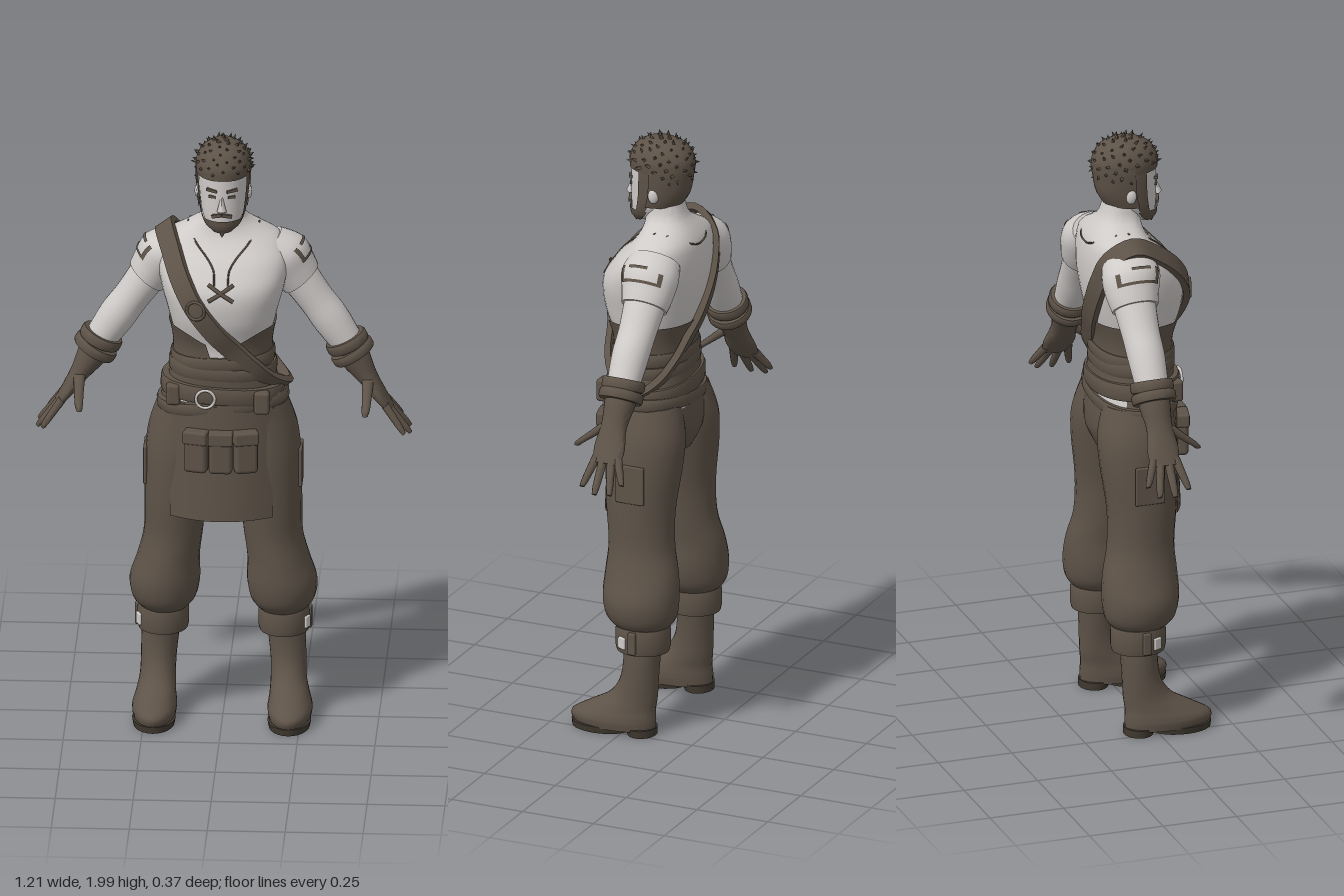
import * as THREE from 'three';
import { mergeVertices, toCreasedNormals } from 'three/addons/utils/BufferGeometryUtils.js';
import { RoundedBoxGeometry } from 'three/addons/geometries/RoundedBoxGeometry.js';

const PI = Math.PI, V = (x, y, z) => new THREE.Vector3(x, y, z);
const clamp = THREE.MathUtils.clamp, lerp = THREE.MathUtils.lerp;

const leather = new THREE.MeshStandardMaterial({ color: 0x5e5348, side: THREE.DoubleSide });
leather.name = 'brown leather';
const linen = new THREE.MeshStandardMaterial({ color: 0xcfcbc9, side: THREE.DoubleSide });
linen.name = 'pale linen and skin';
const sole = new THREE.MeshStandardMaterial({ color: 0x3f382f });
sole.name = 'dark sole';

// Smooth interpolation through a list of section rows [x, y, z, rx, rz, tilt]
function at(rows, t) {
  const n = rows.length - 1, i = clamp(Math.floor(t), 0, n - 1), f = t - i;
  const r = (k) => rows[clamp(k, 0, n)];
  return [0, 1, 2, 3, 4, 5].map((k) => {
    const [a, b, c, d] = [r(i - 1), r(i), r(i + 1), r(i + 2)].map((q) => q[k] ?? 0);
    return b + 0.5 * f * (c - a + f * (2 * a - 5 * b + 4 * c - d + f * (3 * (b - c) + d - a)));
  });
}
const pw = (v, e) => Math.sign(v) * Math.abs(v) ** e;
function ringPoint([x, y, z, rx, rz, tilt = 0], a, e = 1, off = 0) {
  const u = (rx + off) * pw(Math.cos(a), e);
  return V(x + u * Math.cos(tilt), y + u * Math.sin(tilt), z + (rz + off) * pw(Math.sin(a), e));
}
// Grid surface from a function of (u, v)
function patch(fn, nu, nv, crease = 1.0) {
  const pos = [], idx = [], w = nu + 1;
  for (let j = 0; j <= nv; j++) for (let i = 0; i <= nu; i++) pos.push(...fn(i / nu, j / nv).toArray());
  for (let j = 0; j < nv; j++) for (let i = 0; i < nu; i++) {
    const a = j * w + i, b = a + w;
    idx.push(a, b, a + 1, a + 1, b, b + 1);
  }
  const g = new THREE.BufferGeometry();
  g.setAttribute('position', new THREE.Float32BufferAttribute(pos, 3));
  g.setIndex(idx);
  return toCreasedNormals(mergeVertices(g, 1e-5), crease);
}
function loft(rows, { seg = 24, steps = 4, a0 = 0, a1 = 2 * PI, e = 1, cap = true } = {}) {
  const n = (rows.length - 1) * steps, rings = [];
  for (let i = 0; i <= n; i++) rings.push(at(rows, i / steps));
  const flat = (r) => [r[0], r[1], r[2], 0, 0, 0];
  if (cap) { rings.unshift(flat(rings[0])); rings.push(flat(rings[rings.length - 1])); }
  const m = rings.length - 1;
  return patch((u, v) => ringPoint(rings[Math.round(v * m)], lerp(a0, a1, u), e), seg, m);
}
// Raised hoop around a body or limb
function band(x, y, z, rx, rz, h, tilt = 0, th = 0.02, e = 1) {
  const row = (d, o) => [x - Math.sin(tilt) * d, y + Math.cos(tilt) * d, z, rx + o, rz + o, tilt];
  const rows = [row(-h / 2, -th), row(-h / 2, -0.004), row(-h * 0.3, 0), row(h * 0.3, 0), row(h / 2, -0.004), row(h / 2, -th)];
  return loft(rows, { steps: 1, seg: 36, cap: false, e });
}
function mirrored(geo) {
  const g = geo.index ? geo.toNonIndexed() : geo.clone();
  g.scale(-1, 1, 1);
  for (const at of Object.values(g.attributes)) {
    const s = at.itemSize, d = at.array;
    for (let t = 0; t < at.count; t += 3) for (let k = 0; k < s; k++) {
      const p = t * s + k, q = (t + 2) * s + k;
      [d[p], d[q]] = [d[q], d[p]];
    }
  }
  return g;
}

// Torso sections, hips to neck
const TE = 0.88;
const TORSO = [[0, 1.08, -0.02, 0.195, 0.125], [0, 1.2, -0.008, 0.163, 0.122], [0, 1.3, -0.008, 0.154, 0.12],
  [0, 1.4, -0.005, 0.174, 0.15], [0, 1.5, -0.012, 0.2, 0.16], [0, 1.58, -0.038, 0.21, 0.135],
  [0, 1.64, -0.062, 0.185, 0.1], [0, 1.68, -0.06, 0.115, 0.078], [0, 1.71, -0.048, 0.073, 0.066], [0, 1.78, -0.035, 0.062, 0.06]];
function torsoRow(y) {
  let i = 0;
  while (i < TORSO.length - 2 && TORSO[i + 1][1] < y) i++;
  const r = at(TORSO, i + (y - TORSO[i][1]) / (TORSO[i + 1][1] - TORSO[i][1]));
  r[1] = y;
  return r;
}
function onTorso(x, y, side = 1, off = 0) {
  const r = torsoRow(y), c = clamp(Math.abs(x / r[3]), 0, 1);
  return V(x, y, r[2] + side * (r[4] * (1 - c ** (2 / TE)) ** (TE / 2) + off));
}

export function createModel() {
  const model = new THREE.Group();
  const add = (name, geo, mat, parent = model) => {
    const m = new THREE.Mesh(geo, mat);
    m.name = name;
    parent.add(m);
    return m;
  };
  const pair = (name, geo, mat) => { add('left' + name, geo, mat); add('right' + name, mirrored(geo), mat); };
  const cord = (name, pts, r, mat) => add(name, new THREE.TubeGeometry(new THREE.CatmullRomCurve3(pts), 16, r, 5), mat);

  // Shirt and neck
  add('shirt', patch((u, v) => ringPoint(torsoRow(lerp(1.08, 1.78, v)), u * 2 * PI, TE), 40, 44), linen);
  // Waist wrap with a notch at the front
  add('corset', patch((u, v) => {
    const a = u * 2 * PI, s = Math.max(0, Math.sin(a));
    const top = s > 0 && Math.abs(Math.cos(a) + 0.07) < 0.17 ? 1.27 : 1.37 - 0.06 * s ** 6;
    return ringPoint(torsoRow(lerp(1.16, top, v)), a, TE, 0.006);
  }, 72, 10), leather);
  [[1.25, 0.168, 0.03], [1.215, 0.174, -0.04]].forEach(([y, r, t]) =>
    add('sash', band(0, y, -0.008, r, 0.131, 0.045, t, 0.02, TE), leather));
  add('mainBelt', band(0, 1.145, -0.006, 0.2, 0.143, 0.055, -0.06, 0.03, TE), leather);
  add('hipBelt', band(0, 1.1, -0.012, 0.213, 0.14, 0.04, 0.09, 0.03, TE), leather);
  const buckle = add('buckle', new THREE.TorusGeometry(0.03, 0.005, 6, 20), linen);
  buckle.position.set(-0.05, 1.14, 0.137);
  add('beltPouch', new RoundedBoxGeometry(0.05, 0.075, 0.04, 2, 0.01), leather).position.set(0.13, 1.125, 0.115);
  add('sidePouch', new RoundedBoxGeometry(0.045, 0.07, 0.04, 2, 0.01), leather).position.set(-0.155, 1.14, 0.09);

  // Shoulder strap, a closed flat loop
  const frontLine = [[-0.165, 1.615], [-0.13, 1.54], [-0.085, 1.46], [-0.02, 1.37], [0.04, 1.3], [0.1, 1.235], [0.14, 1.19]];
  const loop = new THREE.CatmullRomCurve3([V(-0.19, 1.662, -0.065), ...frontLine.map(([x, y]) => onTorso(x, y, 1, 0.01)),
    V(0.195, 1.14, -0.02), ...frontLine.slice().reverse().map(([x, y]) => onTorso(x, y, -1, 0.01))], true);
  add('strap', patch((u, v) => {
    const p = loop.getPointAt(v % 1), t = loop.getTangentAt(v % 1), n = p.clone().sub(V(0, 1.4, -0.03));
    n.addScaledVector(t, -n.dot(t)).normalize();
    const b = t.clone().cross(n), k = Math.round(u * 4) % 4;
    return p.addScaledVector(b, k === 0 || k === 3 ? 0.032 : -0.032).addScaledVector(n, k < 2 ? 0.01 : -0.012);
  }, 4, 72, 0.7), leather);
  const ring = add('strapRing', new THREE.TorusGeometry(0.03, 0.005, 6, 20), leather);
  ring.position.copy(onTorso(-0.08, 1.455, 1, 0.022));
  ring.rotation.y = -0.3;

  // Neckline, lacing
  for (const s of [-1, 1]) {
    cord('collar', [[0.115, 1.682], [0.085, 1.64], [0.045, 1.6], [0.025, 1.57], [0.022, 1.53]].map(([x, y]) => onTorso(s * x, y, 1, 0.001)), 0.003, leather);
    cord('lace', [[-0.04, 1.535], [0, 1.51], [0.04, 1.485]].map(([x, y]) => onTorso(s * x, y, 1, 0.005)), 0.007, leather);
  }
  cord('backCollar', [-0.11, -0.05, 0, 0.05, 0.11].map((x) => onTorso(x, 1.63 + 4 * x * x, -1, 0.001)), 0.003, leather);

  // Sleeves with painted marks, then bare arms
  const SLEEVE = [[0.248, 1.479, -0.08, 0.07, 0.076, 0.7], [0.225, 1.515, -0.08, 0.076, 0.086, 0.66],
    [0.192, 1.565, -0.075, 0.082, 0.096, 0.7], [0.14, 1.6, -0.07, 0.066, 0.085, 0.85]];
  pair('Sleeve', loft(SLEEVE), linen);
  const mark = (t0, t1, a0, a1) => pair('SleeveMark', patch((u, v) =>
    ringPoint(at(SLEEVE, lerp(t0, t1, v)), lerp(a0, a1, u), 1, 0.003), 12, 4), leather);
  mark(1.25, 1.4, -0.8, 0.9);
  mark(1.4, 2.1, 0.72, 0.9);
  mark(1.4, 1.9, -0.8, -0.62);
  mark(1.95, 2.1, -0.2, 0.5);
  pair('Arm', loft([[0.405, 1.25, -0.075, 0.05, 0.052, 0.63], [0.345, 1.34, -0.075, 0.06, 0.06, 0.63],
    [0.295, 1.41, -0.078, 0.058, 0.062, 0.63], [0.235, 1.495, -0.08, 0.064, 0.07, 0.65]]), linen);

  // Gloves
  pair('UpperCuff', band(0.394, 1.265, -0.075, 0.07, 0.07, 0.035, 0.45, 0.025), leather);
  pair('LowerCuff', band(0.412, 1.232, -0.075, 0.073, 0.072, 0.032, 0.55, 0.03), leather);
  pair('Glove', loft([[0.532, 1.04, -0.078, 0.014, 0.046, 0.67], [0.5, 1.085, -0.075, 0.022, 0.053, 0.67],
    [0.462, 1.145, -0.073, 0.032, 0.043, 0.65], [0.425, 1.205, -0.075, 0.048, 0.05, 0.6], [0.4, 1.245, -0.075, 0.052, 0.054, 0.6]]), leather);
  [[0.567, 0.99, -0.148, -0.113], [0.595, 0.962, -0.118, -0.09], [0.598, 0.958, -0.066, -0.064], [0.58, 0.972, -0.015, -0.04]]
    .forEach(([x, y, z, z0]) => pair('Finger', loft([[x, y, z, 0.007, 0.008, 0.7], [lerp(x, 0.52, 0.25), lerp(y, 1.06, 0.25), lerp(z, z0, 0.25), 0.011, 0.012, 0.7],
      [0.518, 1.06, z0, 0.014, 0.015, 0.7]], { seg: 10 }), leather));
  pair('Thumb', loft([[0.458, 1.06, 0.058, 0.009, 0.01], [0.46, 1.075, 0.045, 0.013, 0.015], [0.462, 1.11, 0, 0.016, 0.02],
    [0.462, 1.15, -0.05, 0.02, 0.025]], { seg: 10 }), leather);

  // Trousers
  add('seat', loft([[0, 0.92, -0.035, 0.09, 0.09], [0, 0.98, -0.032, 0.18, 0.118], [0, 1.05, -0.025, 0.208, 0.126], [0, 1.15, -0.012, 0.185, 0.125]]), leather);
  pair('TrouserLeg', loft([[0.19, 0.36, -0.048, 0.075, 0.085], [0.19, 0.395, -0.045, 0.102, 0.115], [0.188, 0.46, -0.042, 0.113, 0.126],
    [0.176, 0.54, -0.04, 0.1, 0.122], [0.16, 0.63, -0.032, 0.095, 0.11], [0.153, 0.75, -0.026, 0.1, 0.114],
    [0.138, 0.9, -0.03, 0.112, 0.128], [0.124, 1.0, -0.032, 0.114, 0.128], [0.105, 1.1, -0.02, 0.1, 0.115]]), leather);
  pair('Pocket', new RoundedBoxGeometry(0.012, 0.13, 0.1, 2, 0.005).translate(0.249, 0.86, -0.03), leather);

  // Apron with three pouches
  const apron = new THREE.BoxGeometry(0.33, 0.39, 0.014, 12, 6, 1);
  const ap = apron.attributes.position;
  for (let i = 0; i < ap.count; i++) ap.setZ(i, ap.getZ(i) - 1.9 * ap.getX(i) ** 2 - 0.04 * ap.getY(i));
  apron.computeVertexNormals();
  add('apron', apron, leather).position.set(0, 0.915, 0.13);
  for (const x of [-0.08, 0, 0.08]) {
    const g = new THREE.Group();
    g.name = 'apronPouch';
    add('pouch', new RoundedBoxGeometry(0.076, 0.14, 0.04, 2, 0.014), leather, g);
    add('flap', new RoundedBoxGeometry(0.08, 0.045, 0.046, 2, 0.008), leather, g).position.y = 0.05;
    g.position.set(x, 0.96, 0.146 - 1.5 * x * x);
    g.rotation.y = x * 3;
    model.add(g);
  }

  // Boots
  pair('Boot', loft([[0.217, 0.018, 0.038, 0.068, 0.142], [0.217, 0.05, 0.04, 0.072, 0.145], [0.214, 0.085, 0.012, 0.064, 0.115],
    [0.21, 0.125, -0.025, 0.058, 0.082], [0.208, 0.18, -0.045, 0.057, 0.064], [0.204, 0.25, -0.052, 0.06, 0.06], [0.198, 0.31, -0.052, 0.062, 0.064]]), leather);
  pair('BootSole', loft([[0.217, 0, 0.085, 0.066, 0.098], [0.217, 0.022, 0.085, 0.07, 0.1]], { steps: 1 }), sole);
  pair('BootHeel', loft([[0.217, 0, -0.06, 0.056, 0.047], [0.217, 0.025, -0.055, 0.058, 0.052]], { steps: 1 }), sole);
  pair('BootCuff', band(0.194, 0.325, -0.052, 0.083, 0.09, 0.085, 0, 0.03), leather);
  pair('BootStrap', new RoundedBoxGeometry(0.02, 0.075, 0.028, 2, 0.006).translate(0.274, 0.325, -0.05), leather);
  pair('BootBuckle', new RoundedBoxGeometry(0.01, 0.04, 0.03, 2, 0.004).rotateY(-0.45).translate(0.27, 0.32, -0.012), linen);

  // Head
  const HEAD = [[0, 1.685, 0.035, 0.025, 0.025], [0, 1.705, 0.018, 0.05, 0.052], [0, 1.74, -0.004, 0.067, 0.077],
    [0, 1.79, -0.02, 0.075, 0.094], [0, 1.85, -0.026, 0.08, 0.1], [0, 1.9, -0.03, 0.078, 0.1], [0, 1.945, -0.03, 0.052, 0.068]];
  add('head', loft(HEAD), linen);
  const nose = add('nose', new THREE.ConeGeometry(0.016, 0.06, 4), linen);
  nose.position.set(0, 1.795, 0.076);
  nose.rotation.x = -0.2;
  pair('Ear', new THREE.SphereGeometry(1, 10, 8).scale(0.012, 0.026, 0.018).rotateY(0.3).translate(0.08, 1.795, -0.035), linen);
  pair('Brow', new THREE.BoxGeometry(0.036, 0.009, 0.012).rotateZ(0.12).rotateY(0.35).translate(0.032, 1.834, 0.066), leather);
  pair('Eye', new THREE.BoxGeometry(0.024, 0.009, 0.008).rotateY(0.35).translate(0.031, 1.812, 0.065), leather);
  pair('Moustache', new THREE.BoxGeometry(0.034, 0.011, 0.014).rotateZ(-0.25).rotateY(0.35).translate(0.015, 1.75, 0.074), leather);

  // Beard along the jaw, sideburns
  const headPatch = (y0, y1, a0, a1, off) => patch((u, v) => {
    const y = lerp(y0, y1, v);
    let i = 0;
    while (i < 5 && HEAD[i + 1][1] < y) i++;
    const r = at(HEAD, i + (y - HEAD[i][1]) / (HEAD[i + 1][1] - HEAD[i][1]));
    r[1] = y;
    return ringPoint(r, lerp(a0, a1, u), 1, off);
  }, 16, 8);
  add('beard', headPatch(1.686, 1.73, -0.1, PI + 0.1, 0.006), leather);
  pair('Sideburn', headPatch(1.725, 1.88, -0.02, 0.45, 0.005), leather);
  const goatee = add('goatee', new THREE.ConeGeometry(0.03, 0.05, 8), leather);
  goatee.position.set(0, 1.693, 0.055);
  goatee.rotation.x = PI - 0.35;

  // Hair: cap, nape and pointed tufts
  add('hairCap', loft([[0, 1.868, -0.03, 0.087, 0.108], [0, 1.905, -0.03, 0.088, 0.108], [0, 1.945, -0.03, 0.07, 0.085], [0, 1.968, -0.03, 0.035, 0.045]]), leather);
  add('hairBack', headPatch(1.75, 1.9, PI - 0.05, 2 * PI + 0.05, 0.009), leather);
  let seed = 7;
  const rnd = () => (seed = (seed * 16807) % 2147483647) / 2147483647;
  for (let i = 0; i < 95; i++) {
    const y = 1 - 1.45 * (i + 0.5) / 95, a = i * 2.4, r = Math.sqrt(1 - y * y);
    const d = V(r * Math.cos(a), y, r * Math.sin(a));
    if (d.z > -0.1 && y < 0.02) continue;
    const lean = V(rnd() - 0.5, rnd() * 0.6 - 0.2, rnd() - 0.3).multiplyScalar(0.9).add(d).normalize();
    const tuft = add('hairTuft', new THREE.ConeGeometry(0.02, 0.05, 4), leather);
    tuft.position.set(d.x * 0.083, 1.882 + d.y * 0.083, -0.03 + d.z * 0.098);
    tuft.quaternion.setFromUnitVectors(V(0, 1, 0), lean);
  }
  return model;
}
